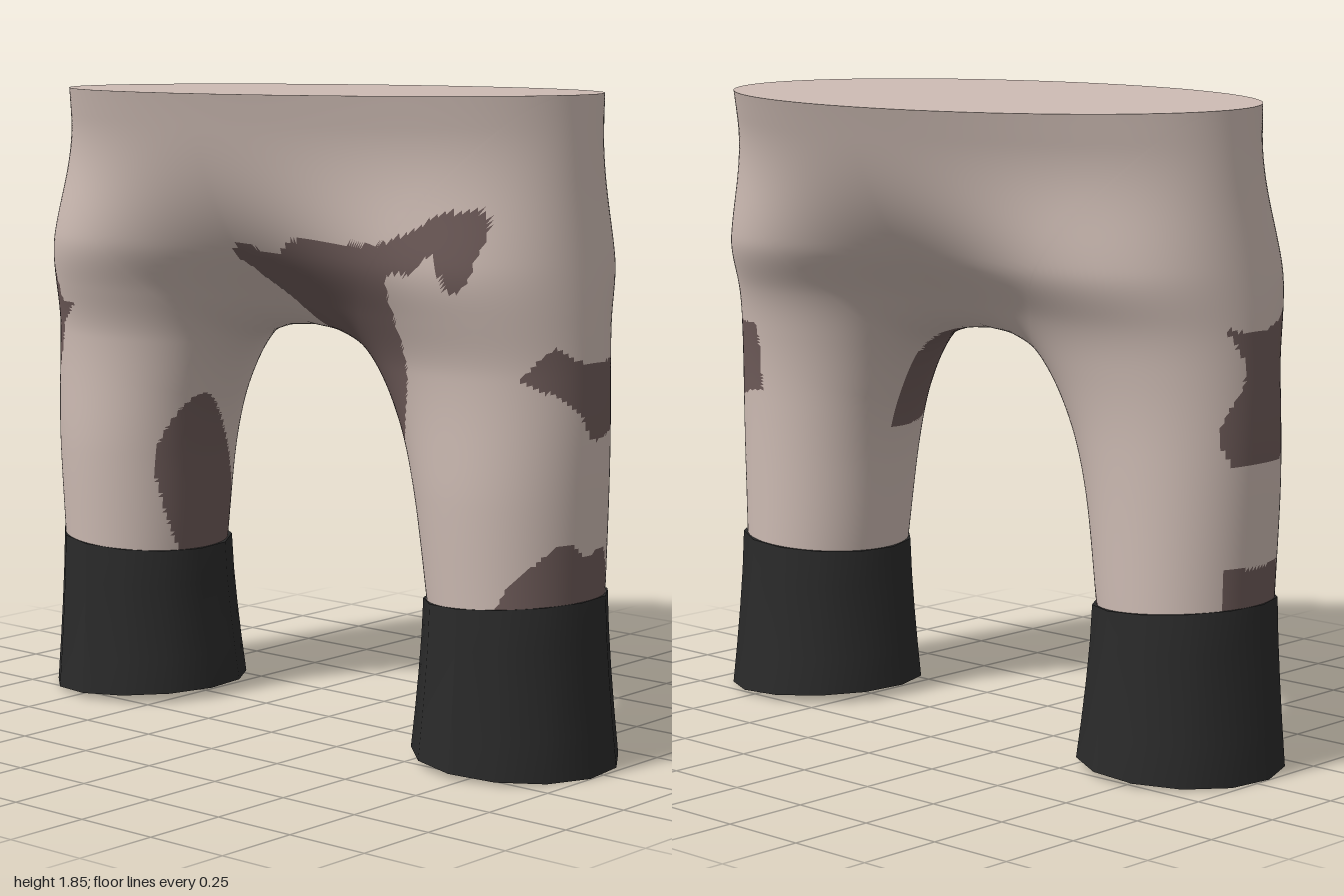
import * as THREE from 'three';
import { mergeVertices } from 'three/addons/utils/BufferGeometryUtils.js';

const { lerp, smoothstep, clamp } = THREE.MathUtils;

const mat = (name, color, side = THREE.FrontSide) => {
  const m = new THREE.MeshStandardMaterial({ color, side });
  m.name = name;
  return m;
};

// Smooth (Hermite) lookup in a short table of [key, value] pairs
function smooth(...table) {
  const n = table.length - 1;
  const slope = (i) => {
    const a = table[Math.max(0, i - 1)], b = table[Math.min(n, i + 1)];
    return (b[1] - a[1]) / (b[0] - a[0]);
  };
  return (x) => {
    let i = 0;
    while (i < n - 1 && x > table[i + 1][0]) i++;
    const [x0, y0] = table[i], [x1, y1] = table[i + 1];
    const h = x1 - x0, t = clamp((x - x0) / h, 0, 1), u = 1 - t;
    return y0 * (1 + 2 * t) * u * u + y1 * t * t * (3 - 2 * t)
      + h * (slope(i) * t * u * u - slope(i + 1) * t * t * u);
  };
}

const BASE = 0.43, TOP = 1.835, TOP_X = 0.875;
// Outer half width, front and back depth by height
const outer = smooth([BASE, 0.957], [0.92, 0.972], [1.25, 0.953], [1.6, 0.905], [TOP, TOP_X]);
const front = smooth([BASE, 0.278], [0.75, 0.3], [1.1, 0.315], [1.25, 0.365], [1.4, 0.44], [TOP, 0.585]);
const back = smooth([BASE, 0.22], [0.9, 0.232], [1.1, 0.255], [1.25, 0.3], [1.4, 0.4], [TOP, 0.588]);
// Arch between the legs: t = 0 at the boot, 1 at the top corner, 2 at the middle
const archX = smooth([0, 0.475], [0.25, 0.43], [0.5, 0.375], [1, 0.27], [1.5, 0.145], [2, 0]);
const archY = smooth([0, 0.43], [0.25, 0.74], [0.5, 0.92], [1, 1.085], [1.5, 1.147], [2, 1.165]);

// A blotch: the axis (0 = x, 2 = z) its outline is drawn against, its zone, and its outline
function blotch(axis, zone, ...pts) {
  const outline = new THREE.SplineCurve([...pts, pts[0]].map((p) => new THREE.Vector2(...p))).getPoints(pts.length * 5);
  return (p) => {
    if (!zone(...p)) return false;
    let hit = false;
    outline.forEach((b, i) => {
      const a = outline[(i + 1) % outline.length];
      if ((a.y > p[1]) !== (b.y > p[1]) && p[axis] < (b.x - a.x) * (p[1] - a.y) / (b.y - a.y) + a.x) hit = !hit;
    });
    return hit;
  };
}

// Left leg: large front blotch, outer band, patch above the boot
const leftBlotches = [
  blotch(0, (x, y, z) => z > 0, [-0.03, 1.39], [0.03, 1.43], [0.15, 1.4], [0.28, 1.455], [0.55, 1.455], [0.72, 1.54],
    [0.81, 1.53], [0.78, 1.36], [0.73, 1.34], [0.7, 1.43], [0.64, 1.38], [0.56, 1.35], [0.54, 1.05], [0.4, 0.83],
    [0.15, 1.1], [0.09, 1.25]),
  blotch(2, (x) => x > 0.72, [0.23, 1.1], [0.15, 1.18], [0.04, 1.13], [-0.18, 1.14], [-0.3, 1.12], [-0.3, 1],
    [-0.17, 0.905], [-0.1, 0.94], [0.03, 0.925], [0.08, 1]),
  blotch(2, (x) => x > 0.75, [0.26, 0.4], [0.24, 0.54], [0.13, 0.65], [0.05, 0.61], [-0.06, 0.61], [-0.08, 0.4]),
];
// Right leg: inner patch, outer patch, patch above the boot
const rightBlotches = [
  blotch(2, (x) => x < 0 && x > -0.65, [0.1, 0.4], [0.18, 0.6], [0.21, 0.78], [0.12, 0.94], [-0.02, 0.78], [-0.15, 0.53], [-0.15, 0.4]),
  blotch(0, (x, y, z) => z > -0.06 + 0.04 * Math.sin(y * 18), [-1, 1.2], [-0.83, 1.31], [-0.78, 1.2], [-0.71, 1.2],
    [-0.8, 1.13], [-0.83, 1.05], [-0.92, 0.89], [-1, 0.91]),
  blotch(0, (x, y, z) => z > -0.08, [-1, 0.58], [-0.92, 0.58], [-0.89, 0.4], [-1, 0.4]),
];
const isBlotch = (p) => (p[0] > -0.1 ? leftBlotches : rightBlotches).some((covers) => covers(p));

// One cross-section fanned around the arch: back outer edge, arch, front outer edge
const N = 56;
function section(t, mirror) {
  const ix = archX(t), iy = archY(t);
  const oy = t < 1 ? BASE + (TOP - BASE) * t : TOP;
  const ox = t < 1 ? outer(oy) : TOP_X * Math.cos((t - 1) * Math.PI / 2);
  const ring = [];
  for (let k = 0; k <= 2 * N; k++) {
    const s = (1 + Math.cos(Math.PI * k / N)) / 2;
    const x = lerp(ix, ox, s), y = lerp(iy, oy, s);
    const w = outer(y), a = Math.max(0, w - x), b = Math.hypot(x - ix, y - iy);
    const leg = 2 * Math.sqrt(a * b) / (a + b);
    const waist = Math.sqrt(Math.max(0, 1 - (x / w) ** 2));
    const d = lerp(leg, waist, smoothstep(y, 1.25, 1.75));
    const mid = 0.03 * (1 - smoothstep(y, 1.2, 1.8));
    const z = k < N ? mid - (back(y) + mid) * d : mid + (front(y) - mid) * d;
    const px = x * mirror;
    ring.push([px, y + smoothstep(y, 1.4, TOP) * (0.012 * px + 0.015 * z), z]);
  }
  return ring;
}

function geometryFrom(points, index) {
  const g = new THREE.BufferGeometry();
  g.setAttribute('position', new THREE.Float32BufferAttribute(points.flat(), 3));
  g.setIndex(index);
  return g;
}

function createTrousers(skin, dark) {
  const SIDE = 110, UPPER = 60, ts = [];
  for (let i = 0; i < SIDE; i++) ts.push(i / SIDE);
  for (let i = 0; i <= UPPER; i++) ts.push(1 + i / UPPER);
  const rows = ts.map((t) => section(t, 1)).concat(ts.slice(0, -1).reverse().map((t) => section(t, -1)));
  const W = 2 * N + 1, index = [];
  for (let r = 0; r < rows.length - 1; r++) for (let k = 0; k < 2 * N; k++) {
    const a = r * W + k, d = a + W;
    index.push(a, a + 1, d + 1, a, d + 1, d);
  }
  const body = mergeVertices(geometryFrom(rows.flat(), index), 1e-5);
  body.computeVertexNormals();

  // Sort the faces into plain and blotched groups
  const pos = body.attributes.position, idx = body.index.array, plain = [], dim = [];
  for (let i = 0; i < idx.length; i += 3) {
    const f = [idx[i], idx[i + 1], idx[i + 2]];
    const c = [0, 1, 2].map((q) => f.reduce((sum, v) => sum + pos.getComponent(v, q) / 3, 0));
    (isBlotch(c) ? dim : plain).push(...f);
  }
  body.setIndex(plain.concat(dim));
  body.addGroup(0, plain.length, 0);
  body.addGroup(plain.length, dim.length, 1);
  const trousers = new THREE.Mesh(body, [skin, dark]);
  trousers.name = 'trousers';

  // Closed oval top
  const edge = rows.slice(SIDE, SIDE + 2 * UPPER + 1).flatMap((r) => [r[2 * N], r[0]]);
  const capIndex = [];
  for (let i = 0; i < edge.length - 2; i += 2) capIndex.push(i, i + 1, i + 3, i, i + 3, i + 2);
  const capGeo = geometryFrom(edge, capIndex);
  capGeo.computeVertexNormals();
  const cap = new THREE.Mesh(capGeo, skin);
  cap.name = 'waistTop';
  return [trousers, cap];
}

// Flared boot, its ends sloping across the leg
function createBoot(side, material) {
  const g = new THREE.CylinderGeometry(1, 1, 1, 13, 4);
  const p = g.attributes.position;
  for (let i = 0; i < p.count; i++) {
    const h = p.getY(i) + 0.5, flare = (1 - h) ** 1.4, u = p.getX(i) * side, v = p.getZ(i);
    const x = 0.714 - 0.004 * flare + u * (0.254 + 0.036 * flare);
    const z = 0.028 - 0.008 * flare + v * (0.262 + 0.033 * flare);
    const y = lerp(0.015 - 0.015 * u, 0.468 + 0.016 * u, h);
    p.setXYZ(i, x * side, y, z);
  }
  g.computeVertexNormals();
  const boot = new THREE.Mesh(g, material);
  boot.name = side > 0 ? 'leftBoot' : 'rightBoot';
  return boot;
}

export function createModel() {
  const skin = mat('paleBeige', 0xcdbbb3, THREE.DoubleSide);
  const dark = mat('mauveBrown', 0x6e5b59, THREE.DoubleSide);
  const black = mat('bootBlack', 0x2a2a2a);
  const model = new THREE.Group();
  model.name = 'bootedLegs';
  model.add(...createTrousers(skin, dark), createBoot(1, black), createBoot(-1, black));
  return model;
}
